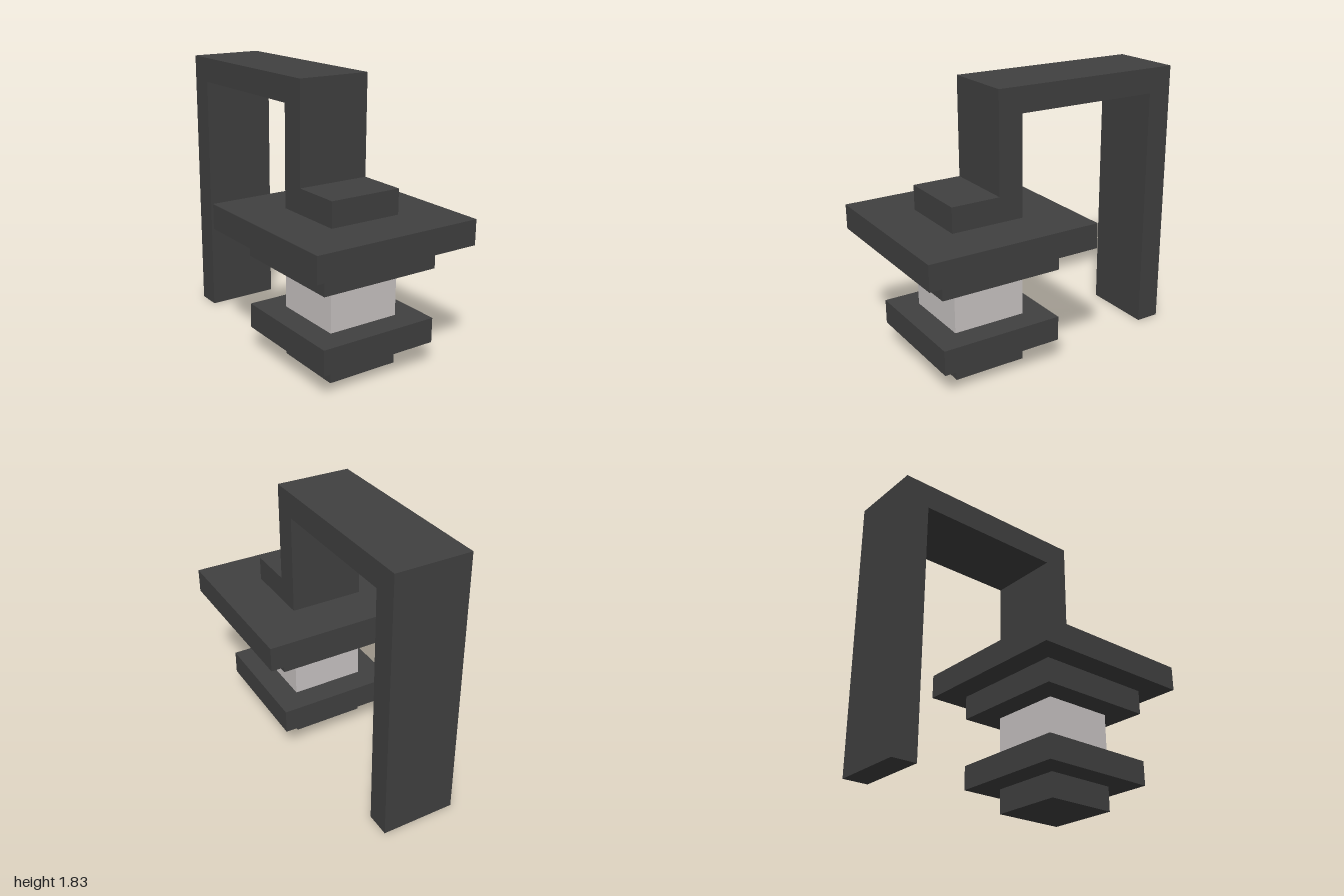
import * as THREE from 'three';

const U = 1 / 6; // design module: every size is a multiple of this

export function createModel() {
  const group = new THREE.Group();
  group.name = 'hangingLantern';

  const darkMetal = new THREE.MeshStandardMaterial({ color: 0x404040 });
  darkMetal.name = 'darkMetal';
  const paleGlass = new THREE.MeshStandardMaterial({ color: 0xc9c4c3 });
  paleGlass.name = 'paleGlass';

  // Square lantern tiers, stacked upwards: name, width, height, material
  const tiers = [
    ['bottomFoot', 3, 1, darkMetal],
    ['lowerPlate', 5, 1, darkMetal],
    ['lampGlass', 3, 2, paleGlass],
    ['upperPlate', 5, 1, darkMetal],
    ['roofPlate', 7, 1, darkMetal],
  ];
  let y = 0;
  for (const [name, width, height, material] of tiers) {
    const mesh = new THREE.Mesh(new THREE.BoxGeometry(width * U, height * U, width * U), material);
    mesh.name = name;
    mesh.position.set(0, (y + height / 2) * U, 2.5 * U);
    group.add(mesh);
    y += height;
  }

  // Roof cap, riser, beam and rear post as one side profile (z, y)
  const profile = [
    [4, 6], [4, 7], [2, 7], [2, 11], [-6, 11], [-6, 0], [-5, 0], [-5, 10], [1, 10], [1, 6],
  ];
  const shape = new THREE.Shape(profile.map(([z, h]) => new THREE.Vector2(z * U, h * U)));
  const armGeometry = new THREE.ExtrudeGeometry(shape, { depth: 3 * U, bevelEnabled: false });
  armGeometry.translate(0, 0, -1.5 * U);
  armGeometry.rotateY(-Math.PI / 2);
  const arm = new THREE.Mesh(armGeometry, darkMetal);
  arm.name = 'hookArmAndPost';
  group.add(arm);

  return group;
}
